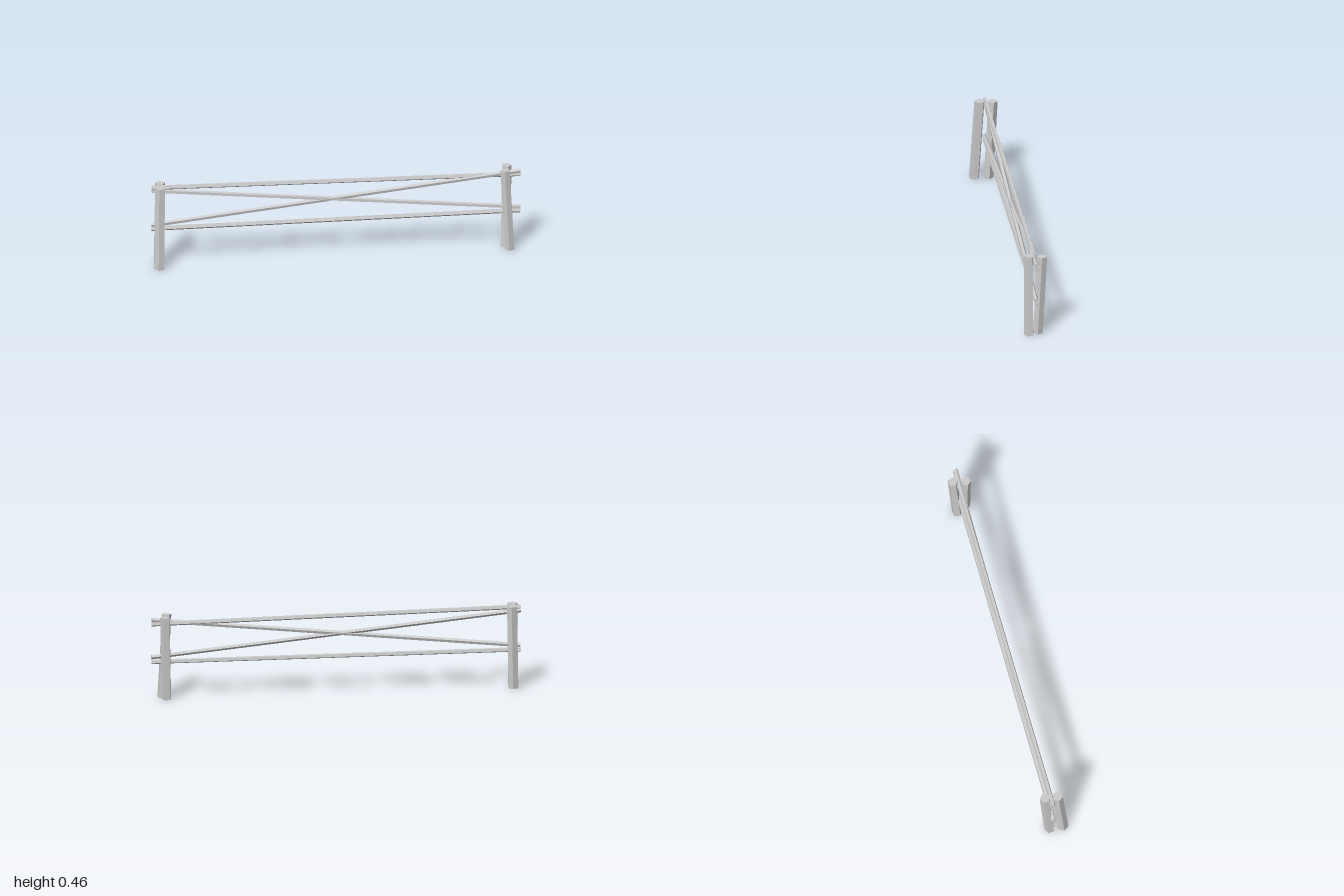
import * as THREE from 'three';

const material = new THREE.MeshStandardMaterial({ color: 0xcccccc, flatShading: true });

// Five-sided pole from a to b whose end cuts stay square to the given axis ('x' or 'y')
function pole(name, a, b, radius, turn, axis) {
  const geo = new THREE.CylinderGeometry(radius, radius, 1, 5, 1, false, turn);
  geo.translate(0, 0.5, 0);
  if (axis === 'x') geo.rotateZ(-Math.PI / 2);
  const start = new THREE.Vector3(...a);
  const run = new THREE.Vector3(...b).sub(start);
  const pos = geo.attributes.position;
  const v = new THREE.Vector3();
  for (let i = 0; i < pos.count; i++) {
    v.fromBufferAttribute(pos, i);
    const t = v[axis];
    v[axis] = 0;
    v.add(start).addScaledVector(run, t);
    pos.setXYZ(i, v.x, v.y, v.z);
  }
  geo.computeVertexNormals();
  const mesh = new THREE.Mesh(geo, material);
  mesh.name = name;
  return mesh;
}

export function createModel() {
  const group = new THREE.Group();
  group.name = 'fence';
  const H = 0.462;

  // Leaning posts, a pair gripping the rails at each end: foot x/z, top x/z, radius, turn
  const posts = [
    ['rightFrontPost', -0.962, 0.095, -0.956, 0.066, 0.029, -1.5],
    ['rightBackPost', -0.961, 0.02, -0.951, -0.003, 0.028, 1.75],
    ['leftFrontPost', 0.94, -0.022, 0.915, -0.023, 0.0265, -1.4],
    ['leftBackPost', 0.918, -0.072, 0.927, -0.094, 0.028, 1.45],
  ];
  for (const [name, x0, z0, x1, z1, r, turn] of posts) {
    group.add(pole(name, [x0, 0, z0], [x1, H, z1], r, turn, 'y'));
  }

  // Rails running between the posts: y/z at each end, turn
  const rails = [
    ['topRail', 0.45, 0.034, 0.419, -0.066, 0.3],
    ['fallingBrace', 0.432, 0.031, 0.232, -0.054, 0.6],
    ['risingBrace', 0.234, 0.038, 0.441, -0.061, 0.9],
    ['bottomRail', 0.211, 0.034, 0.208, -0.064, 0.2],
  ];
  for (const [name, y0, z0, y1, z1, turn] of rails) {
    group.add(pole(name, [-1, y0, z0], [1, y1, z1], 0.0125, turn, 'x'));
  }
  return group;
}
